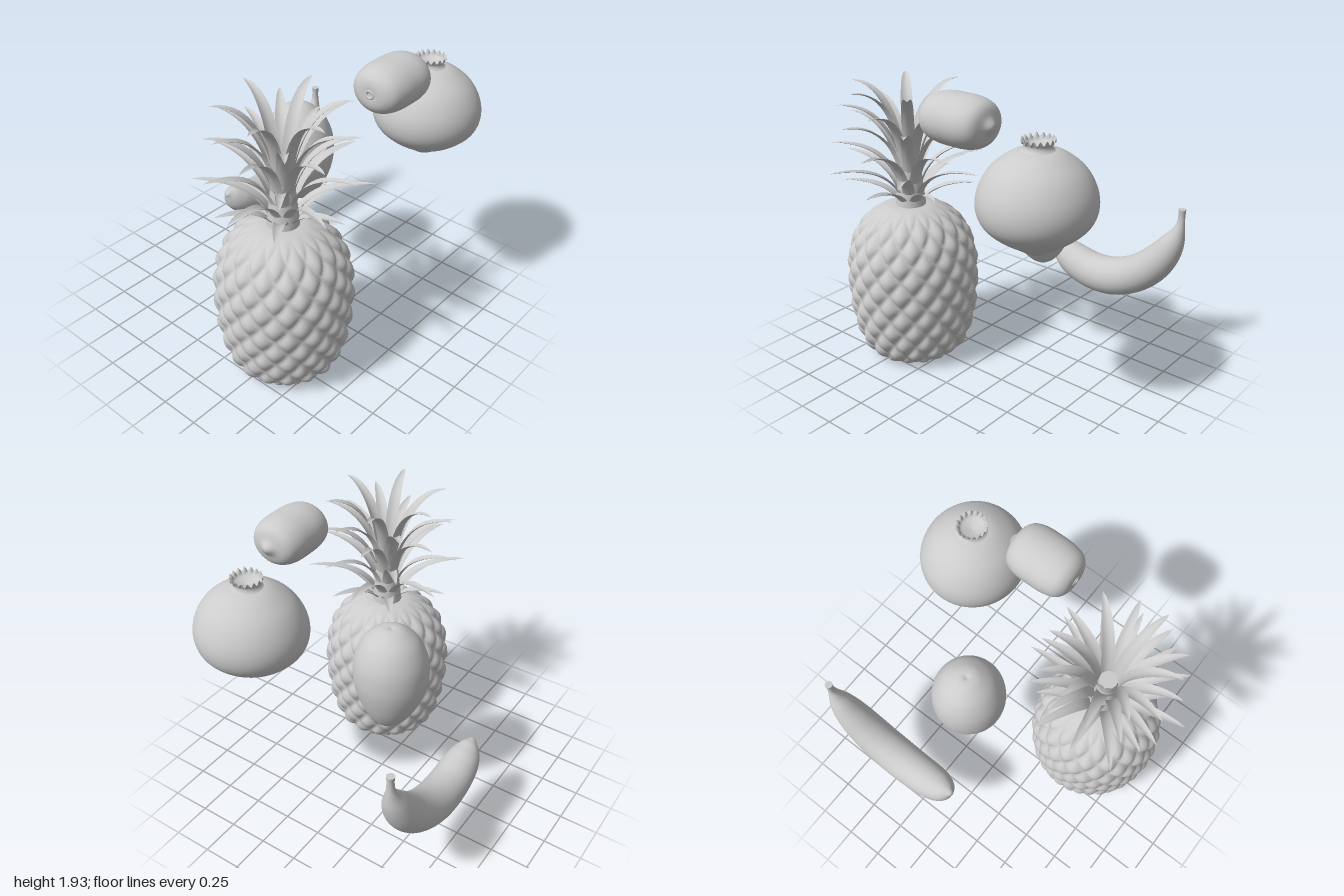
import * as THREE from 'three';
import { mergeVertices } from 'three/addons/utils/BufferGeometryUtils.js';

const grey = new THREE.MeshStandardMaterial({ color: 0xcccccc });
const greyThin = new THREE.MeshStandardMaterial({ color: 0xcccccc, side: THREE.DoubleSide });

function mesh(name, geometry, material = grey) {
  const m = new THREE.Mesh(geometry, material);
  m.name = name;
  return m;
}

// Lathe through a smoothed profile of [radius, height]; rule(v, angle) may move each vertex.
function turned(profile, rows, segments, rule) {
  const curve = new THREE.SplineCurve(profile.map(([r, y]) => new THREE.Vector2(r, y)));
  const points = curve.getPoints(rows);
  points.forEach(p => { p.x = Math.max(p.x, 0); });
  let g = new THREE.LatheGeometry(points, segments);
  const pos = g.attributes.position, v = new THREE.Vector3();
  for (let i = 0; i < pos.count; i++) {
    v.fromBufferAttribute(pos, i);
    if (rule) rule(v, Math.atan2(v.x, v.z));
    pos.setXYZ(i, v.x, v.y, v.z);
  }
  g.deleteAttribute('uv');
  g.deleteAttribute('normal');
  g = mergeVertices(g, 1e-5);
  g.computeVertexNormals();
  return g;
}

// Indexed surface from equal-length rows of points.
function skin(rows) {
  const n = rows[0].length, index = [];
  for (let i = 0; i < rows.length - 1; i++) {
    for (let j = 0; j < n - 1; j++) {
      const a = i * n + j, b = a + n;
      index.push(a, a + 1, b, a + 1, b + 1, b);
    }
  }
  let g = new THREE.BufferGeometry();
  g.setAttribute('position', new THREE.Float32BufferAttribute(rows.flat(2), 3));
  g.setIndex(index);
  g = mergeVertices(g, 1e-5);
  g.computeVertexNormals();
  return g;
}

// One curved, keeled leaf growing towards +x.
function leafGeometry(baseY, tipY, reach) {
  const path = new THREE.QuadraticBezierCurve(
    new THREE.Vector2(0.06, baseY), new THREE.Vector2(0.13, tipY), new THREE.Vector2(reach, tipY));
  const rows = [];
  for (let i = 0; i <= 14; i++) {
    const t = i / 14, p = path.getPoint(t), d = path.getTangent(t);
    const half = 0.047 * Math.pow(1 - t, 0.7) * (0.8 + 0.9 * t);
    rows.push([-1, -0.5, 0, 0.5, 1].map(s => {
      const lift = 0.35 * half * s * s;
      return [p.x - d.y * lift, p.y + d.x * lift, s * half];
    }));
  }
  return skin(rows);
}

function pineapple() {
  const g = new THREE.Group();
  g.name = 'pineapple';
  const profile = [[0, 0.012], [0.1, 0.008], [0.2, 0.006], [0.27, 0.03], [0.335, 0.12], [0.38, 0.28],
    [0.4, 0.45], [0.403, 0.62], [0.385, 0.76], [0.34, 0.88], [0.26, 0.98], [0.17, 1.035], [0.09, 1.05], [0, 1.05]];
  // Diamond eyes swell out of the skin, fading at both ends
  const body = turned(profile, 150, 192, (v, angle) => {
    const r = Math.hypot(v.x, v.z);
    if (r < 0.02) return;
    const u = 16 * angle / (2 * Math.PI), w = v.y / 0.19;
    const eye = Math.pow(Math.abs(Math.sin(Math.PI * (u + w)) * Math.sin(Math.PI * (u - w))), 0.65);
    const fade = THREE.MathUtils.smoothstep(r, 0.12, 0.33);
    const k = 1 + fade * (0.033 * eye - 0.009) / r;
    v.x *= k;
    v.z *= k * 1.015;
  });
  g.add(mesh('pineappleBody', body));

  const core = mesh('crownCore', new THREE.CylinderGeometry(0.055, 0.1, 0.41, 24));
  core.position.y = 1.235;
  g.add(core);

  // Crown tiers: base height, tip height, reach
  const tiers = [[1.03, 1.2, 0.42], [1.06, 1.33, 0.52], [1.13, 1.455, 0.48],
    [1.22, 1.605, 0.44], [1.3, 1.7, 0.43], [1.37, 1.815, 0.39]];
  tiers.forEach(([baseY, tipY, reach], k) => {
    const leaf = leafGeometry(baseY, tipY, reach);
    for (let i = 0; i < 6; i++) {
      const m = mesh('crownLeaf', leaf, greyThin);
      m.rotation.y = THREE.MathUtils.degToRad(36 + 32 * k + 60 * i);
      g.add(m);
    }
  });
  g.position.set(-0.48, 0, 0.28);
  return g;
}

function pomegranate() {
  const g = new THREE.Group();
  g.name = 'pomegranate';
  g.add(mesh('pomegranateBody', turned([[0, 1.095], [0.05, 1.105], [0.13, 1.155], [0.24, 1.225], [0.315, 1.3],
    [0.342, 1.39], [0.325, 1.49], [0.265, 1.59], [0.17, 1.665], [0.09, 1.695], [0, 1.695]], 60, 72)));
  // Flared calyx with a toothed rim
  const calyx = turned([[0.12, 1.68], [0.088, 1.7], [0.08, 1.725], [0.096, 1.75], [0.084, 1.745], [0.066, 1.72], [0, 1.7]],
    36, 128, (v, a) => { v.y += 0.012 * Math.cos(16 * a) * THREE.MathUtils.smoothstep(v.y, 1.725, 1.75); });
  g.add(mesh('pomegranateCalyx', calyx, greyThin));
  g.scale.x = 0.965;
  g.position.set(0.667, 0, 0.46);
  return g;
}

function mango() {
  const geo = turned([[0, 0.68], [0.05, 0.688], [0.11, 0.74], [0.172, 0.84], [0.217, 0.96], [0.23, 1.07],
    [0.216, 1.19], [0.165, 1.3], [0.09, 1.368], [0.035, 1.388], [0, 1.38]], 60, 64, v => {
    // Belly leans to one side towards the lower tip
    v.x += 0.025 * THREE.MathUtils.smoothstep(1.0 - v.y, 0, 0.32);
    v.z *= 1.02;
  });
  const m = mesh('mango', geo);
  m.position.set(0.2, 0, -0.2);
  return m;
}

function kiwi() {
  const g = new THREE.Group();
  g.name = 'kiwi';
  g.add(mesh('kiwiBody', turned([[0, -0.215], [0.05, -0.22], [0.095, -0.205], [0.13, -0.165], [0.147, -0.09], [0.15, 0],
    [0.147, 0.09], [0.13, 0.155], [0.1, 0.19], [0.05, 0.21], [0.018, 0.232], [0, 0.237]], 60, 56)));
  // Dry button at the stem end
  const button = mesh('kiwiStemEnd', new THREE.TorusGeometry(0.022, 0.008, 8, 20));
  button.rotation.x = Math.PI / 2;
  button.position.y = -0.217;
  g.add(button);
  g.rotation.z = -Math.PI / 2;
  g.scale.z = 1.16;
  g.position.set(0.185, 1.78, 0.525);
  return g;
}

function banana() {
  const g = new THREE.Group();
  g.name = 'banana';
  // Centre line x, y and radius from blossom tip to stem
  const spine = [[-0.015, 0.598, 0.012], [0.002, 0.59, 0.03], [0.03, 0.572, 0.062], [0.085, 0.532, 0.098], [0.17, 0.487, 0.118],
    [0.3, 0.453, 0.126], [0.45, 0.458, 0.13], [0.6, 0.512, 0.127], [0.73, 0.604, 0.12], [0.83, 0.72, 0.104],
    [0.895, 0.835, 0.075], [0.927, 0.92, 0.042], [0.938, 0.975, 0.026], [0.94, 1.03, 0.022], [0.94, 1.072, 0.025]];
  const curve = new THREE.CatmullRomCurve3(spine.map(p => new THREE.Vector3(...p)));
  const rows = [], sides = 40, steps = 90;
  for (let i = 0; i <= steps; i++) {
    const t = i / steps, p = curve.getPoint(t), d = curve.getTangent(t);
    const len = Math.hypot(d.x, d.y), nx = -d.y / len, ny = d.x / len;
    const ring = scale => Array.from({ length: sides + 1 }, (_, j) => {
      const a = 2 * Math.PI * (j % sides) / sides, c = scale * p.z * Math.cos(a);
      return [p.x + nx * c, p.y + ny * c, scale * p.z * Math.sin(a)];
    });
    if (i === 0) rows.push(ring(0));
    rows.push(ring(1));
  }
  g.add(mesh('bananaBody', skin(rows)));
  const cut = mesh('bananaStemCut', new THREE.CircleGeometry(0.025, 24));
  cut.rotation.x = -Math.PI / 2;
  cut.position.set(0.94, 1.072, 0);
  g.add(cut);
  g.position.z = -0.682;
  return g;
}

export function createModel() {
  const model = new THREE.Group();
  model.name = 'fruitSet';
  model.add(pineapple(), pomegranate(), mango(), kiwi(), banana());
  return model;
}
